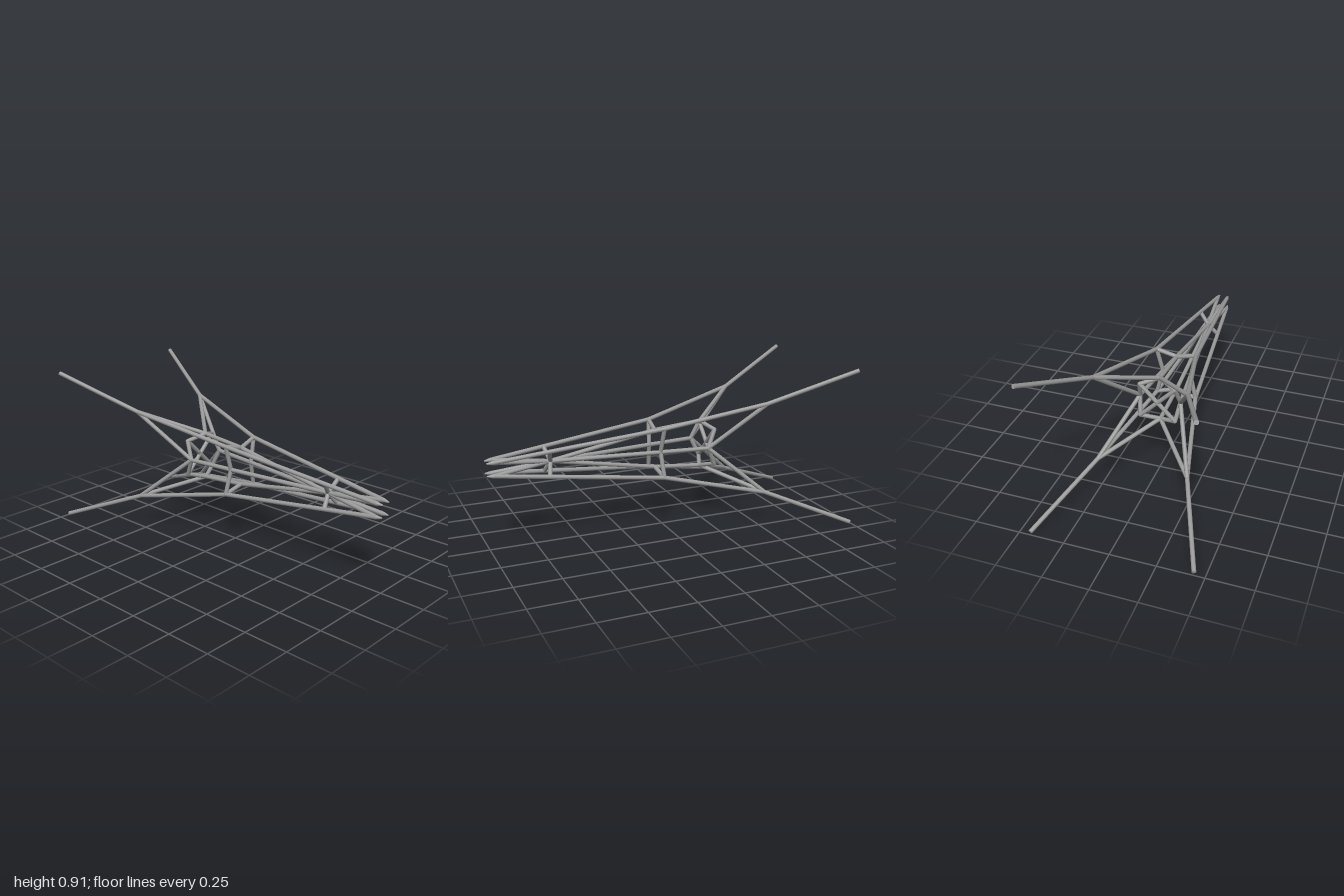
import * as THREE from 'three';

const MID = 0.455; // height of the long axis
const R = 0.012; // bar radius

export function createModel() {
  const model = new THREE.Group();
  model.name = 'spaceFrame';
  const steel = new THREE.MeshStandardMaterial({ color: 0x999999 });
  steel.name = 'grey steel';
  const v = (x, y, z) => new THREE.Vector3(x, y, z);

  // round bar between two points
  function bar(parent, name, a, b, endRadius = R) {
    const dir = b.clone().sub(a);
    const mesh = new THREE.Mesh(new THREE.CylinderGeometry(endRadius, R, dir.length(), 12), steel);
    mesh.position.copy(a).add(b).multiplyScalar(0.5);
    mesh.quaternion.setFromUnitVectors(v(0, 1, 0), dir.normalize());
    mesh.name = name;
    parent.add(mesh);
  }

  // ball that fills the gap where bars meet
  function joint(parent, p) {
    const mesh = new THREE.Mesh(new THREE.SphereGeometry(R, 12, 8), steel);
    mesh.position.copy(p);
    mesh.name = 'joint';
    parent.add(mesh);
  }

  const nose = v(0, 0, 0.65);
  const rearCentre = v(0, 0, -0.28);

  // four diagonal arms, each with its forward prong and bracing
  for (const sx of [1, -1]) for (const sy of [1, -1]) {
    const arm = new THREE.Group();
    arm.name = (sy > 0 ? 'upper' : 'lower') + (sx > 0 ? 'Left' : 'Right') + 'Arm';
    const p = (x, y, z) => v(sx * x, sy * y, z);
    const tip = p(0.441, 0.443, -0.99);
    const elbow = p(0.253, 0.258, -0.53);
    const shoulder = p(0.116, 0.14, 0.033);
    const prong = p(0.058, 0.07, 0.67);
    const prongBase = p(0.03, 0.036, 0.965);
    const prongTip = p(0.027, 0.034, 0.998);
    const brace = p(0.1, 0.1, -0.28);

    bar(arm, 'armEnd', elbow, tip);
    bar(arm, 'armBeam', shoulder, elbow);
    bar(arm, 'prongBeam', shoulder, prongBase);
    bar(arm, 'prongPoint', prongBase, prongTip, 0.004);
    bar(arm, 'prongInnerBeam', nose, prongBase);
    bar(arm, 'prongStrut', prong, nose);
    bar(arm, 'rearCross', rearCentre, brace);

    // bars to the neighbouring upright and sideways keels
    for (const [front, rear] of [
      [p(0, 0.108, 0.043), p(0, 0.132, -0.235)],
      [p(0.083, 0, 0.043), p(0.116, 0, -0.235)],
    ]) {
      bar(arm, 'ringBar', shoulder, front);
      bar(arm, 'rearStay', rear, elbow);
      bar(arm, 'rearBrace', rear, brace);
    }
    for (const q of [elbow, shoulder, brace]) joint(arm, q);
    model.add(arm);
  }

  // four inner keels running back from the nose
  for (const [name, dx, dy] of [
    ['topKeel', 0, 1], ['bottomKeel', 0, -1], ['leftKeel', 1, 0], ['rightKeel', -1, 0],
  ]) {
    const keel = new THREE.Group();
    keel.name = name;
    const front = v(dx * 0.083, dy * 0.108, 0.043);
    const rear = v(dx * 0.116, dy * 0.132, -0.235);
    bar(keel, 'frontKeelBar', nose, front);
    bar(keel, 'rearKeelBar', front, rear);
    joint(keel, front);
    joint(keel, rear);
    model.add(keel);
  }
  joint(model, nose);
  joint(model, rearCentre);

  for (const part of model.children) part.position.y += MID;
  return model;
}
